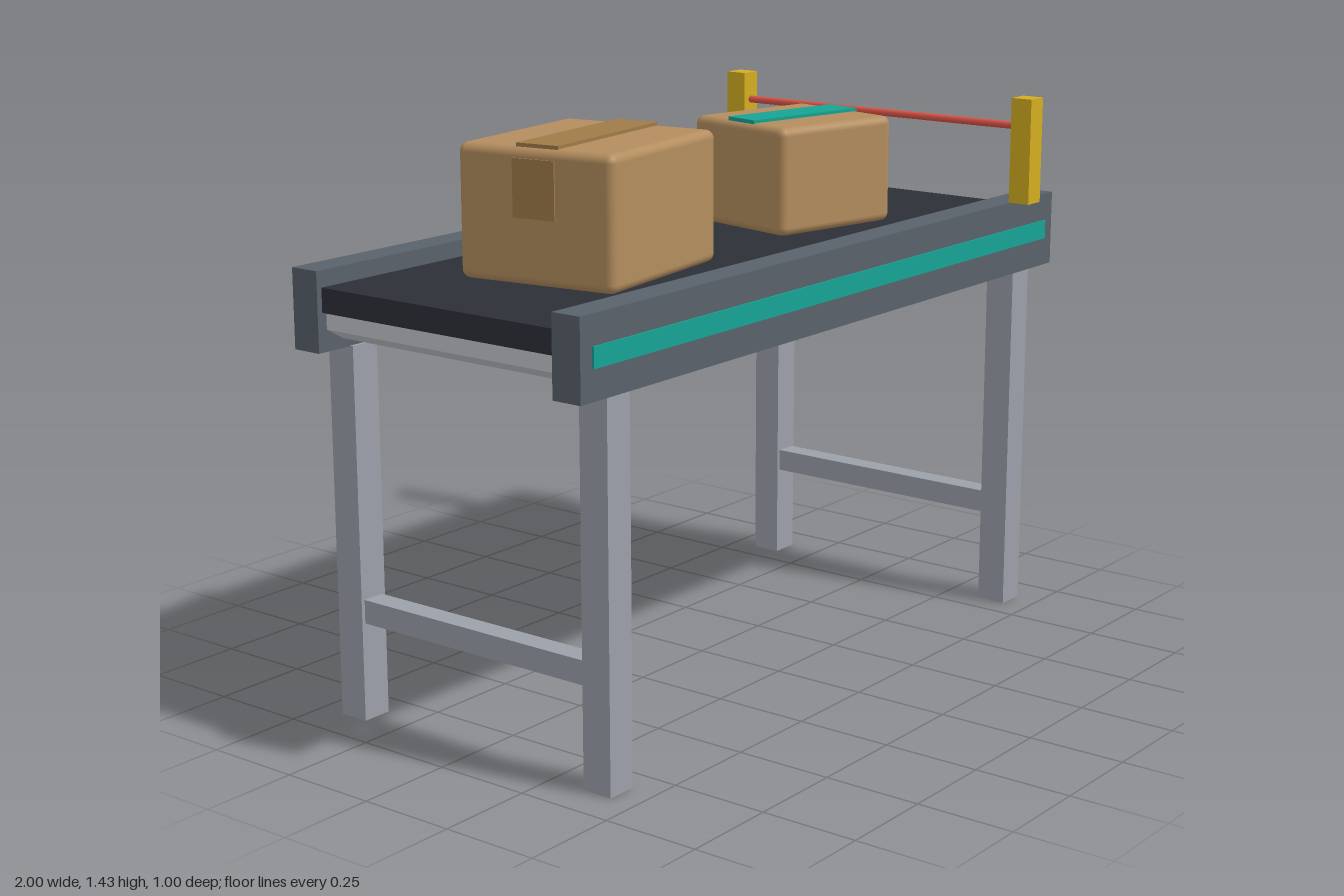
import * as THREE from 'three';
import { RoundedBoxGeometry } from 'three/addons/geometries/RoundedBoxGeometry.js';

const mat = (color, flatShading = false) => new THREE.MeshStandardMaterial({ color, flatShading });
const M = {
  frame: mat(0x59616b), leg: mat(0x9ca0aa), belt: mat(0x2d2f38), roller: mat(0xc4c6cc, true),
  teal: mat(0x16a394), yellow: mat(0xd4ae20), red: mat(0xdc5448), card: mat(0xb38d5e), tape: mat(0x9f7b48),
};

function add(parent, name, geometry, material, x, y, z) {
  const mesh = new THREE.Mesh(geometry, material);
  mesh.name = name;
  mesh.position.set(x, y, z);
  parent.add(mesh);
  return mesh;
}

const box = (parent, name, material, w, h, d, x, y, z) =>
  add(parent, name, new THREE.BoxGeometry(w, h, d), material, x, y, z);

// Cardboard parcel with a strip of tape along its top
function parcel(name, w, h, d, tapeMaterial, tapeLength, tapeWidth) {
  const g = new THREE.Group();
  g.name = name;
  add(g, 'carton', new RoundedBoxGeometry(w, h, d, 3, 0.022), M.card, 0, h / 2, 0);
  box(g, 'topTape', tapeMaterial, tapeLength, 0.01, tapeWidth, 0, h + 0.003, 0);
  return g;
}

export function createModel() {
  const model = new THREE.Group();
  model.name = 'conveyor';

  // Belt
  box(model, 'belt', M.belt, 1.975, 0.06, 0.715, 0, 1.07, 0);

  // Side rails with coloured stripes, and the sensor posts
  for (const s of [1, -1]) {
    box(model, 'sideRail', M.frame, 2, 0.197, 0.08, 0, 1.042, s * 0.4);
    box(model, 'railStripe', M.teal, 1.92, 0.05, 0.01, 0, 1.043, s * 0.44);
    box(model, 'sensorPost', M.yellow, 0.06, 0.28, 0.06, 0.8, 1.282, s * 0.47);
  }

  // Sensor bar between the posts
  add(model, 'sensorBar', new THREE.CylinderGeometry(0.01, 0.01, 0.9, 10), M.red, 0.8, 1.345, 0)
    .rotation.x = Math.PI / 2;

  // Leg frames and end rollers
  for (const s of [1, -1]) {
    for (const t of [1, -1]) box(model, 'leg', M.leg, 0.08, 0.945, 0.08, s * 0.86, 0.4725, t * 0.39);
    box(model, 'crossBar', M.leg, 0.06, 0.06, 0.7, s * 0.86, 0.28, 0);
    add(model, 'endRoller', new THREE.CylinderGeometry(0.06, 0.06, 0.7, 6), M.roller, s * 0.93, 1.03, 0)
      .rotation.x = Math.PI / 2;
  }

  // Large parcel, its tape folded down both ends
  const large = parcel('largeParcel', 0.48, 0.325, 0.43, M.tape, 0.45, 0.115);
  for (const s of [1, -1]) box(large, 'endTape', M.tape, 0.008, 0.14, 0.115, s * 0.24, 0.23, 0);
  large.position.set(-0.442, 1.1, 0);
  large.rotation.y = 0.14;

  // Small parcel
  const small = parcel('smallParcel', 0.39, 0.28, 0.35, M.teal, 0.365, 0.1);
  small.position.set(0.397, 1.1, -0.003);
  small.rotation.y = -0.21;

  model.add(large, small);
  return model;
}
